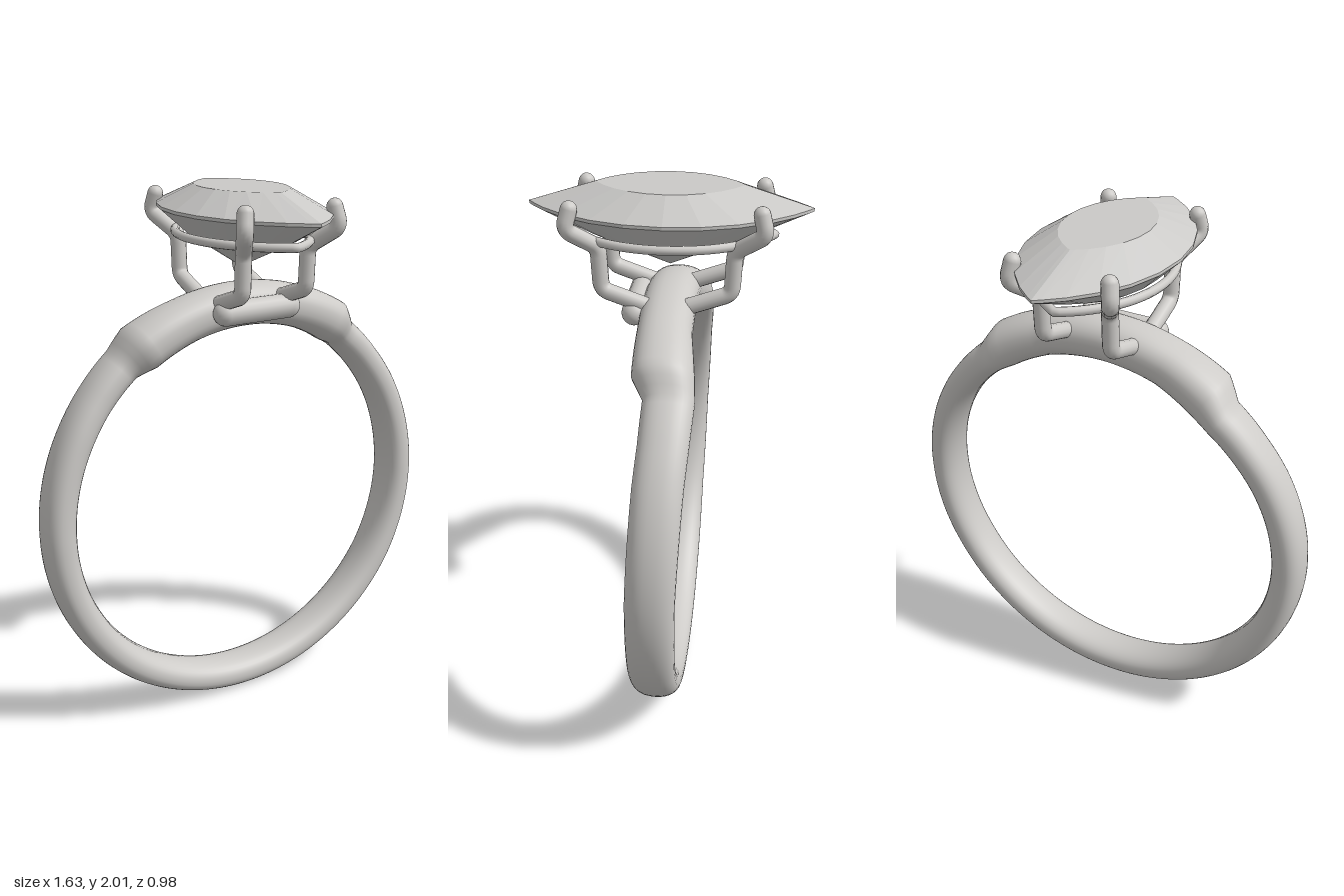
import * as THREE from 'three';

const metal = new THREE.MeshStandardMaterial({ color: 0xcdcbc8 });
metal.name = 'pale silver';
const gemMaterial = new THREE.MeshStandardMaterial({ color: 0xcac9c7, flatShading: true });
gemMaterial.name = 'pale crystal';

const CENTER_Y = 0.81;

function add(group, name, geometry, material = metal) {
  const mesh = new THREE.Mesh(geometry, material);
  mesh.name = name;
  group.add(mesh);
  return mesh;
}

// Pointed oval made of two arcs: half width w along x, half length l along z
function marquise(w, l, n) {
  const R = (l * l + w * w) / (2 * w);
  const points = [];
  for (let i = 0; i < n; i++) {
    const t = (i / n) * Math.PI * 2;
    const z = l * Math.cos(t);
    const x = Math.max(0, Math.sqrt(R * R - z * z) - (R - w));
    points.push([x * Math.sign(Math.sin(t)), z]);
  }
  return points;
}

// Degrees from the top: [angle, mid radius, radial half, z half, z offset]
const BAND = [
  [0, 0.77, 0.08, 0.095, -0.003],
  [18, 0.77, 0.08, 0.095, -0.005],
  [26, 0.77, 0.083, 0.102, -0.012],
  [32, 0.77, 0.085, 0.106, -0.018],
  [38, 0.757, 0.062, 0.087, -0.043],
  [50, 0.755, 0.06, 0.085, -0.036],
  [60, 0.755, 0.06, 0.085, -0.027],
  [90, 0.755, 0.06, 0.085, -0.009],
  [120, 0.755, 0.06, 0.085, 0],
  [180, 0.755, 0.06, 0.085, 0],
];

function bandAt(angle) {
  let i = 0;
  while (i < BAND.length - 2 && angle > BAND[i + 1][0]) i++;
  const a = BAND[i], b = BAND[i + 1];
  const k = (angle - a[0]) / (b[0] - a[0]);
  return a.map((v, j) => v + (b[j] - v) * k);
}

// Closed sweep of a rounded section, swelling into the shoulder sleeve at the top
function bandGeometry() {
  const rings = 180, sides = 32, pos = [], index = [];
  const round = (v) => Math.sign(v) * Math.abs(v) ** 0.88;
  for (let i = 0; i < rings; i++) {
    const deg = i * 2, t = (deg * Math.PI) / 180;
    const [, r, a, b, c] = bandAt(deg > 180 ? 360 - deg : deg);
    for (let j = 0; j < sides; j++) {
      const v = (j / sides) * Math.PI * 2;
      const R = r + a * round(Math.cos(v));
      pos.push(Math.sin(t) * R, CENTER_Y + Math.cos(t) * R, c + b * round(Math.sin(v)));
      const j2 = (j + 1) % sides, i2 = (i + 1) % rings;
      const p = i * sides + j, q = i * sides + j2, s = i2 * sides + j, u = i2 * sides + j2;
      index.push(p, q, s, q, u, s);
    }
  }
  const g = new THREE.BufferGeometry();
  g.setAttribute('position', new THREE.Float32BufferAttribute(pos, 3));
  g.setIndex(index);
  g.computeVertexNormals();
  return g;
}

// Faceted stone lofted from the table down to the culet
function gemGeometry() {
  const n = 24, pos = [];
  const levels = [
    [0, 0, 2], [0.15, 0.255, 2], [0.265, 0.49, 1.927],
    [0.265, 0.49, 1.916], [0.178, 0.3, 1.832], [0, 0, 1.715],
  ].map(([w, l, y]) => (w ? marquise(w, l, n) : Array(n).fill([0, 0])).map(([x, z]) => [x, y, z]));
  for (let k = 0; k < levels.length - 1; k++) {
    for (let i = 0; i < n; i++) {
      const j = (i + 1) % n;
      const a = levels[k][i], b = levels[k][j], c = levels[k + 1][i], d = levels[k + 1][j];
      if (k > 0) pos.push(...a, ...c, ...b);
      if (k < levels.length - 2) pos.push(...b, ...c, ...d);
    }
  }
  const g = new THREE.BufferGeometry();
  g.setAttribute('position', new THREE.Float32BufferAttribute(pos, 3));
  g.computeVertexNormals();
  return g;
}

// Bent wire with small rounded elbows
function prongCurve(sx, sz) {
  const pts = [
    [0.13, 1.595, 0.04], [0.13, 1.66, 0.225], [0.13, 1.81, 0.232],
    [0.188, 1.885, 0.335], [0.176, 1.95, 0.318],
  ].map(([x, y, z]) => new THREE.Vector3(x * sx, y, z * sz));
  const path = new THREE.CurvePath();
  let from = pts[0];
  for (let i = 1; i < pts.length - 1; i++) {
    const p = pts[i];
    const near = (q) => p.clone().add(q.clone().sub(p).setLength(0.03));
    const start = near(pts[i - 1]), end = near(pts[i + 1]);
    path.add(new THREE.LineCurve3(from, start));
    path.add(new THREE.QuadraticBezierCurve3(start, p, end));
    from = end;
  }
  path.add(new THREE.LineCurve3(from, pts[pts.length - 1]));
  return path;
}

export function createModel() {
  const model = new THREE.Group();
  model.name = 'ring';

  add(model, 'band', bandGeometry());
  add(model, 'stone', gemGeometry(), gemMaterial);

  // Gallery wire under the stone
  const loop = marquise(0.212, 0.36, 32).map(([x, z]) => new THREE.Vector3(x, 1.832, z));
  const loopCurve = new THREE.CatmullRomCurve3(loop, true);
  add(model, 'galleryWire', new THREE.TubeGeometry(loopCurve, 96, 0.016, 10, true));

  // Four prongs with rounded tips
  for (const sx of [1, -1]) {
    for (const sz of [1, -1]) {
      const prong = new THREE.Group();
      prong.name = (sz > 0 ? 'front' : 'back') + (sx > 0 ? 'Left' : 'Right') + 'Prong';
      const curve = prongCurve(sx, sz);
      add(prong, 'prongWire', new THREE.TubeGeometry(curve, 64, 0.029, 14));
      const tip = add(prong, 'prongTip', new THREE.SphereGeometry(0.029, 14, 10));
      tip.position.copy(curve.getPoint(1));
      model.add(prong);
    }
  }

  // Raised bar on the front of the sleeve
  const bar = new THREE.CapsuleGeometry(0.045, 0.26, 8, 16);
  bar.rotateZ(Math.PI / 2);
  add(model, 'frontBar', bar).position.set(0, 1.578, 0.112);

  return model;
}
